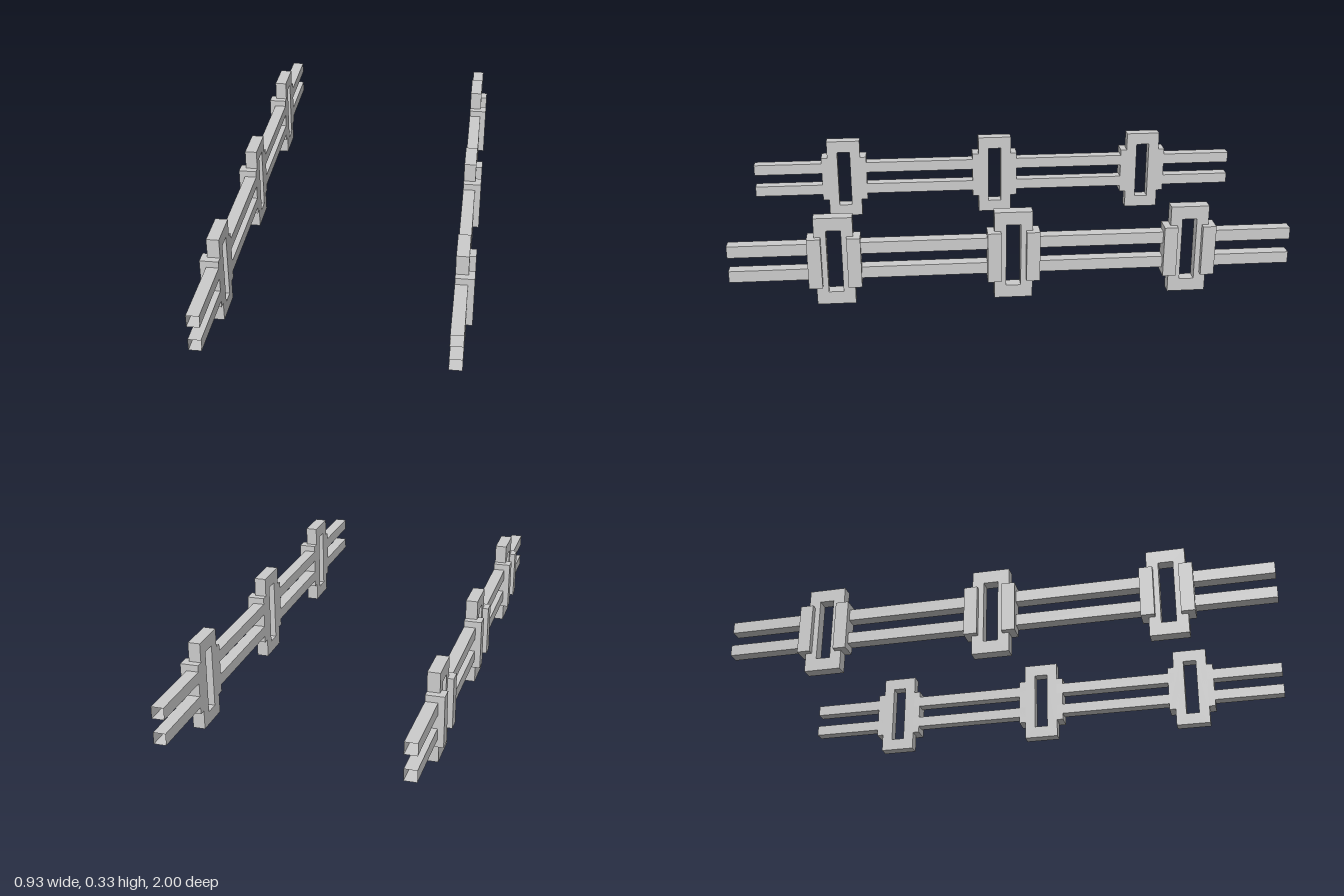
import * as THREE from 'three';

export function createModel() {
  const model = new THREE.Group();
  const solid = new THREE.MeshStandardMaterial({ color: 0xcccccc, flatShading: true });
  const thin = new THREE.MeshStandardMaterial({ color: 0xcccccc, flatShading: true, side: THREE.DoubleSide });

  const xIn = 0.397, xOut = 0.441, xClamp = 0.463; // inner face, frame/rail face, clamp face
  const frameZ = [-0.63, 0, 0.63];
  const frameHalf = 0.068;

  const add = (parent, name, geometry, material) => {
    const mesh = new THREE.Mesh(geometry, material);
    mesh.name = name;
    parent.add(mesh);
  };
  // Box given by its limits
  const span = (x0, x1, y0, y1, z0, z1) =>
    new THREE.BoxGeometry(x1 - x0, y1 - y0, z1 - z0)
      .translate((x0 + x1) / 2, (y0 + y1) / 2, (z0 + z1) / 2);

  // Upright frame with a slot, extruded along x
  const frameGeometry = (z) => {
    const rect = (P, w, y0, y1) => new P([
      new THREE.Vector2(-w, y0), new THREE.Vector2(w, y0),
      new THREE.Vector2(w, y1), new THREE.Vector2(-w, y1)]);
    const shape = rect(THREE.Shape, frameHalf, 0, 0.328);
    shape.holes.push(rect(THREE.Path, 0.026, 0.047, 0.28));
    return new THREE.ExtrudeGeometry(shape, { depth: xOut - xIn, bevelEnabled: false })
      .rotateY(Math.PI / 2).translate(xIn, 0, z);
  };

  // Rail: square tube with open ends
  const railGeometry = (y0, y1, z0, z1) => {
    const g = span(xIn, xOut, y0, y1, z0, z1);
    g.setIndex(Array.from(g.index.array).slice(0, 24)); // drop the two end faces
    g.clearGroups();
    return g;
  };

  const stops = [-1, ...frameZ.flatMap((z) => [z - frameHalf, z + frameHalf]), 1];

  for (const [name, turn] of [['leftFence', 0], ['rightFence', Math.PI]]) {
    const side = new THREE.Group();
    side.name = name;
    side.rotation.y = turn;

    // Upper and lower rails, broken at each frame
    for (const [label, y0, y1] of [['lowerRail', 0.097, 0.139], ['upperRail', 0.19, 0.233]])
      for (let i = 0; i < stops.length; i += 2)
        add(side, label, railGeometry(y0, y1, stops[i], stops[i + 1]), thin);

    // Slotted frames, each with a clamp on both edges
    for (const z of frameZ) {
      add(side, 'slottedFrame', frameGeometry(z), solid);
      for (const s of [-1, 1]) {
        const c = z + s * 0.069;
        add(side, 'edgeClamp', span(xIn, xClamp, 0.071, 0.257, c - 0.024, c + 0.024), solid);
      }
    }
    model.add(side);
  }
  return model;
}
